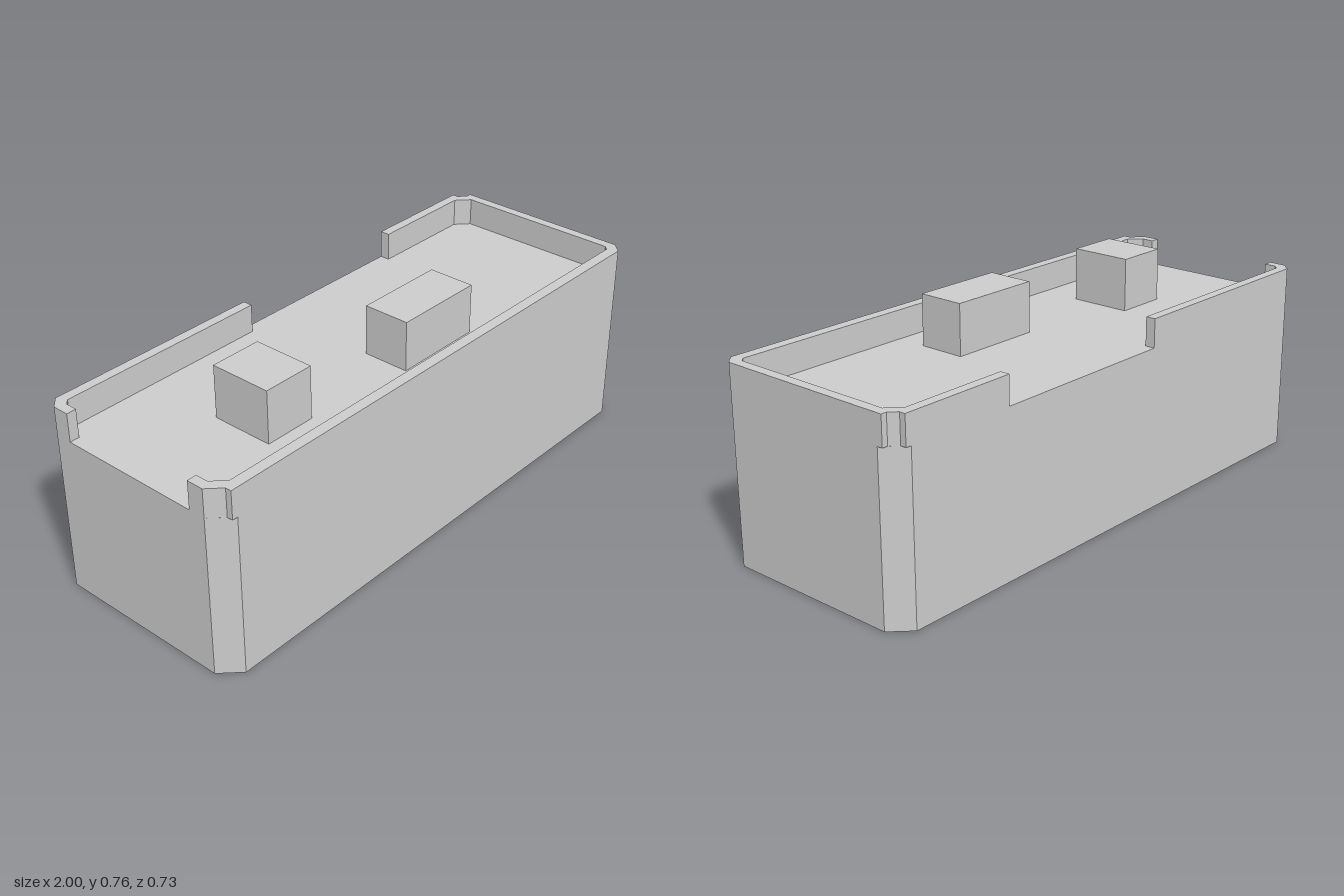
import * as THREE from 'three';

const ROOF = 0.572, RIM_TOP = 0.672;

export function createModel() {
  const model = new THREE.Group();
  model.name = 'building';
  const grey = new THREE.MeshStandardMaterial({ color: 0xcccccc });
  grey.name = 'concrete grey';

  // Extrudes an [x, z] footprint upward from y0 to y1
  function prism(name, footprint, y0, y1) {
    const shape = new THREE.Shape(footprint.map(([x, z]) => new THREE.Vector2(x, -z)));
    const geometry = new THREE.ExtrudeGeometry(shape, { depth: y1 - y0, bevelEnabled: false });
    geometry.rotateX(-Math.PI / 2).translate(0, y0, 0);
    const mesh = new THREE.Mesh(geometry, grey);
    mesh.name = name;
    model.add(mesh);
  }

  function box(name, x0, x1, z0, z1, top) {
    const mesh = new THREE.Mesh(new THREE.BoxGeometry(x1 - x0, top - ROOF, z1 - z0), grey);
    mesh.position.set((x0 + x1) / 2, (ROOF + top) / 2, (z0 + z1) / 2);
    mesh.name = name;
    model.add(mesh);
  }

  // Main block with two narrow and two wide corner chamfers
  prism('body', [
    [-1, 0.3], [-0.935, 0.366], [0.965, 0.366], [1, 0.331],
    [1, -0.3], [0.935, -0.366], [-0.965, -0.366], [-1, -0.331],
  ], 0, ROOF);

  // Parapet along the front and right, with stepped ends at the wide chamfers
  prism('longParapet', [
    [-1, 0.24], [-1, 0.3], [-0.955, 0.345], [-0.955, 0.366], [0.965, 0.366], [1, 0.331],
    [1, -0.32], [0.98, -0.32], [0.955, -0.345], [0.955, -0.366], [0.533, -0.366],
    [0.533, -0.331], [0.92, -0.331], [0.965, -0.288], [0.965, 0.312], [0.95, 0.327],
    [-0.922, 0.327], [-0.965, 0.284], [-0.965, 0.24],
  ], ROOF, RIM_TOP);

  // Parapet around the back left corner
  prism('cornerParapet', [
    [-0.17, -0.366], [-0.965, -0.366], [-1, -0.331], [-1, -0.272],
    [-0.965, -0.272], [-0.965, -0.314], [-0.948, -0.331], [-0.17, -0.331],
  ], ROOF, RIM_TOP);

  // Rooftop units
  box('smallRoofUnit', -0.62, -0.432, -0.042, 0.18, 0.758);
  box('longRoofUnit', -0.03, 0.304, 0.05, 0.218, 0.749);

  return model;
}
